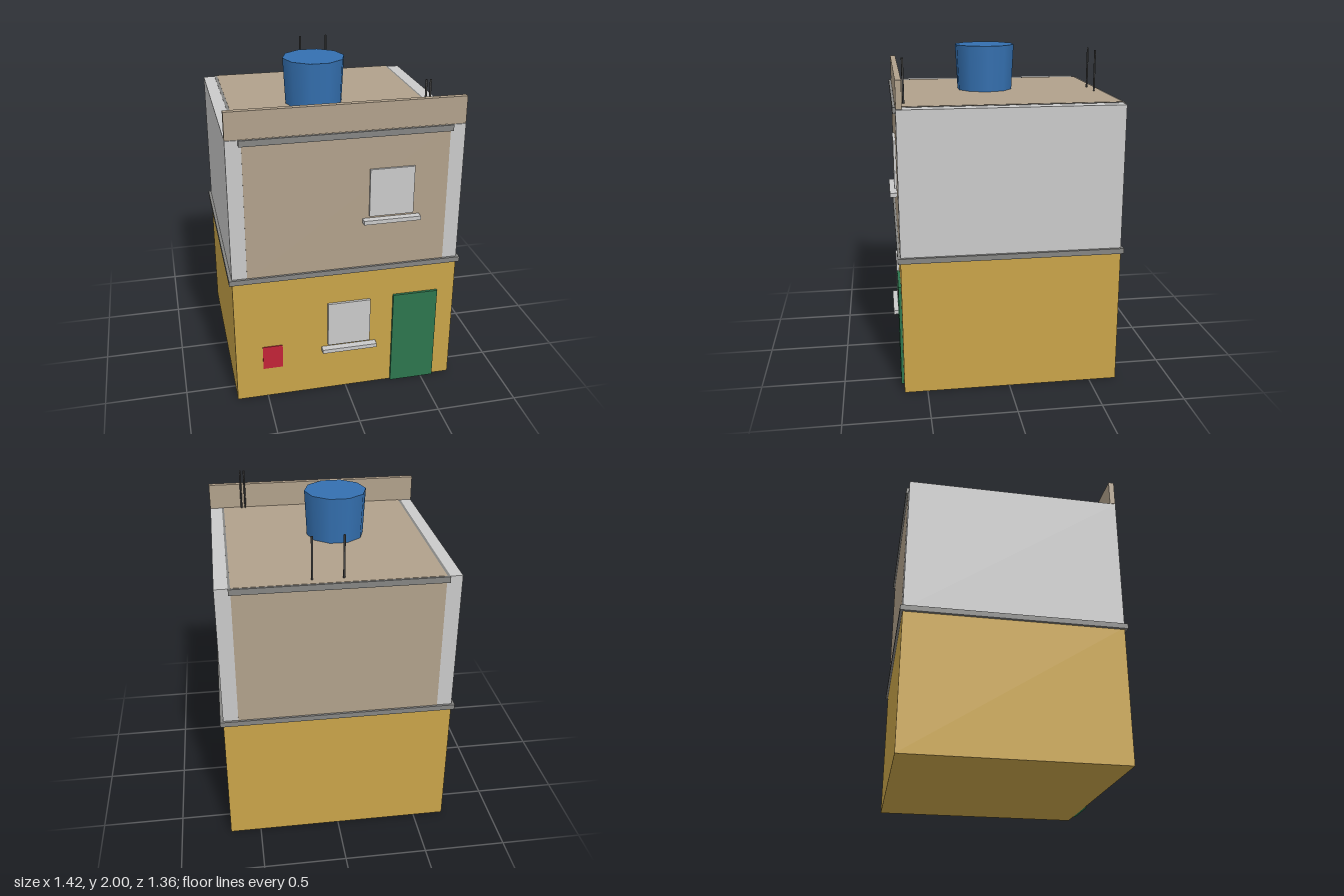
import * as THREE from 'three';

const mat = (name, color) => {
  const m = new THREE.MeshStandardMaterial({ color });
  m.name = name;
  return m;
};

export function createModel() {
  const house = new THREE.Group();
  house.name = 'house';

  const ochre = mat('ochre plaster', 0xc9a449);
  const pale = mat('pale grey plaster', 0xcacaca);
  const tan = mat('tan plaster', 0xb1a18b);
  const stone = mat('dark grey trim', 0x858583);
  const green = mat('green door paint', 0x2d754e);
  const red = mat('red box paint', 0xc22337);
  const blue = mat('blue tank plastic', 0x3470b0);
  const steel = mat('dark steel', 0x484848);

  // Box given by its lower and upper limits on each axis
  const box = (name, material, [x0, x1], [y0, y1], [z0, z1]) => {
    const mesh = new THREE.Mesh(new THREE.BoxGeometry(x1 - x0, y1 - y0, z1 - z0), material);
    mesh.name = name;
    mesh.position.set((x0 + x1) / 2, (y0 + y1) / 2, (z0 + z1) / 2);
    house.add(mesh);
  };

  const back = -0.667, front = 0.638, roof = 1.716;

  // Two storeys, with a tan band running up the front, over the roof and down the back
  box('groundFloor', ochre, [-0.69, 0.69], [0, 0.84], [back, front]);
  box('upperFloor', pale, [-0.69, 0.69], [0.84, roof - 0.002], [back, front]);
  box('tanBand', tan, [-0.6, 0.6], [0.84, roof + 0.002], [back - 0.002, front + 0.002]);

  // Ledges and front parapet
  box('floorLedge', stone, [-0.708, 0.708], [0.826, 0.858], [-0.682, 0.654]);
  box('roofLedge', stone, [-0.617, 0.613], [1.68, roof], [-0.682, 0.654]);
  box('parapet', tan, [-0.69, 0.69], [roof, 1.877], [0.603, 0.637]);

  // Windows with sills
  for (const [name, x, y] of [['lowerWindow', 0.016, 0.33], ['upperWindow', 0.261, 1.19]]) {
    box(name, pale, [x - 0.133, x + 0.133], [y, y + 0.294], [front - 0.01, 0.654]);
    box(name + 'Sill', pale, [x - 0.172, x + 0.172], [y - 0.039, y - 0.014], [front - 0.01, 0.682]);
  }

  // Door and meter box
  box('door', green, [0.295, 0.578], [0, 0.635], [front - 0.01, 0.654]);
  box('meterBox', red, [-0.524, -0.401], [0.208, 0.365], [front - 0.01, 0.643]);

  // Ten-sided water tank on the roof
  const tank = new THREE.Mesh(new THREE.CylinderGeometry(0.19, 0.176, 2 - roof, 10), blue);
  tank.name = 'waterTank';
  tank.rotation.y = Math.PI / 2;
  tank.position.set(-0.075, (roof + 2) / 2, 0.05);
  house.add(tank);

  // Bare reinforcing rods
  for (const [x, z] of [[-0.028, -0.617], [0.15, -0.617], [0.456, 0.588], [0.481, 0.588]]) {
    const rod = new THREE.Mesh(new THREE.CylinderGeometry(0.006, 0.006, 0.256, 8), steel);
    rod.name = 'rod';
    rod.position.set(x, 1.844, z);
    house.add(rod);
  }

  return house;
}
